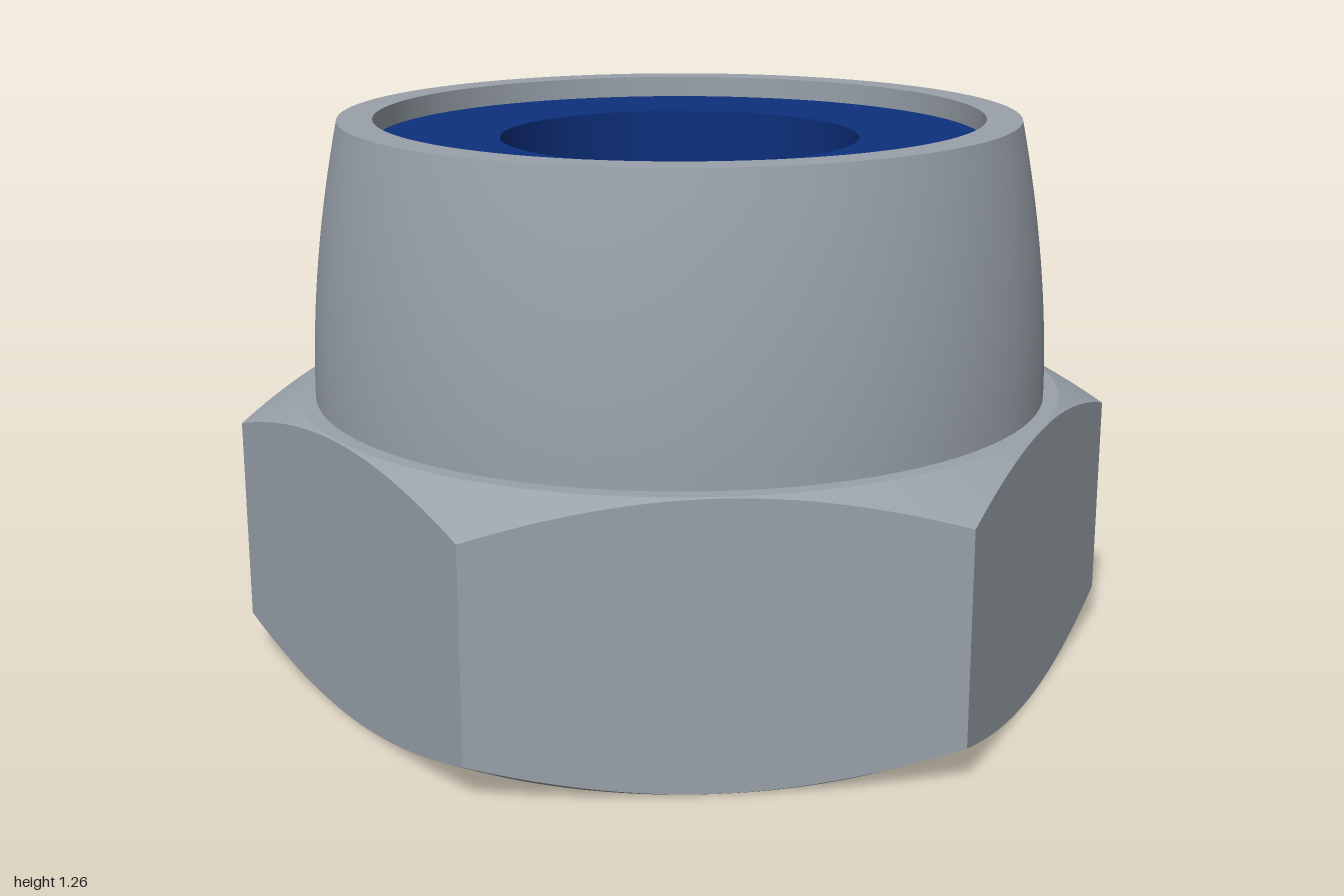
import * as THREE from 'three';
import { toCreasedNormals } from 'three/addons/utils/BufferGeometryUtils.js';

const APOTHEM = 0.887, CHAMFER_R = 0.883, HEX_H = 0.635, TOP = 1.265;
const BORE = 0.56, THREAD_TOP = 0.85;

const lathe = (pts, segments, start = 0) =>
  new THREE.LatheGeometry(pts.map(([r, y]) => new THREE.Vector2(r, y)), segments, start);

// Move every lathe vertex by rule(row, phi) -> [radius, y]
function reshape(geo, rows, segments, start, rule) {
  const pos = geo.attributes.position;
  for (let i = 0; i <= segments; i++) {
    const turn = (i / segments) * Math.PI * 2, phi = start + turn;
    for (let j = 0; j < rows; j++) {
      const [r, y] = rule(j, turn);
      pos.setXYZ(i * rows + j, r * Math.sin(phi), y, r * Math.cos(phi));
    }
  }
  return geo;
}

// Hexagon whose corners are cut by 30 degree cones above and below
function hexGeometry() {
  const seg = 144, start = THREE.MathUtils.degToRad(18), side = Math.PI / 3;
  const profile = [[BORE, 0], [CHAMFER_R, 0], [1, 0.08], [1, 0.55], [CHAMFER_R, HEX_H], [0.8, HEX_H]];
  const geo = reshape(lathe(profile, seg, start), profile.length, seg, start, (j, turn) => {
    if (j !== 2 && j !== 3) return profile[j];
    const r = APOTHEM / Math.cos((turn % side) - side / 2);
    const cut = (r - CHAMFER_R) * Math.tan(Math.PI / 6);
    return [r, j === 2 ? cut : HEX_H - cut];
  });
  return toCreasedNormals(geo, 0.35);
}

// Right-hand helical thread with a countersunk mouth
function threadGeometry() {
  const seg = 72, steps = 10, pitch = 0.17, rows = 6 * steps + 1;
  const profile = Array.from({ length: rows }, (_, j) => [0.5, -j]);
  const geo = reshape(lathe(profile, seg), rows, seg, 0, (j, turn) => {
    const lead = turn / (Math.PI * 2);
    const y = THREE.MathUtils.clamp(pitch * ((rows - 1 - j) / steps + lead - 1), 0, THREAD_TOP);
    const groove = 0.44 + 0.1 * Math.abs(Math.sin(Math.PI * (y / pitch - lead)));
    return [Math.max(groove, BORE - y), y];
  });
  return toCreasedNormals(geo, 0.8);
}

export function createModel() {
  const steel = new THREE.MeshStandardMaterial({ color: 0x99a1aa });
  steel.name = 'steel';
  const blue = new THREE.MeshStandardMaterial({ color: 0x0d2f7c });
  blue.name = 'blue nylon';

  const group = new THREE.Group();
  group.name = 'lockNut';
  const add = (name, geo, mat) => {
    const mesh = new THREE.Mesh(geo, mat);
    mesh.name = name;
    group.add(mesh);
  };

  add('hexBody', hexGeometry(), steel);
  add('thread', threadGeometry(), steel);

  // Collar curves inward towards its rim, then drops to the insert
  const collar = [];
  for (let i = 0; i <= 16; i++) {
    const t = i / 16;
    collar.push([0.847 - 0.072 * Math.pow(t, 1.9), HEX_H + (TOP - HEX_H) * t]);
  }
  collar.push([0.695, TOP], [0.695, THREAD_TOP]);
  add('collar', toCreasedNormals(lathe(collar, 96), 0.5), steel);

  // Locking ring sits slightly below the rim
  const ring = [[0.695, 1.215], [0.41, 1.215], [0.41, THREAD_TOP], [0.695, THREAD_TOP]];
  add('lockingInsert', toCreasedNormals(lathe(ring, 96), 0.5), blue);

  return group;
}
